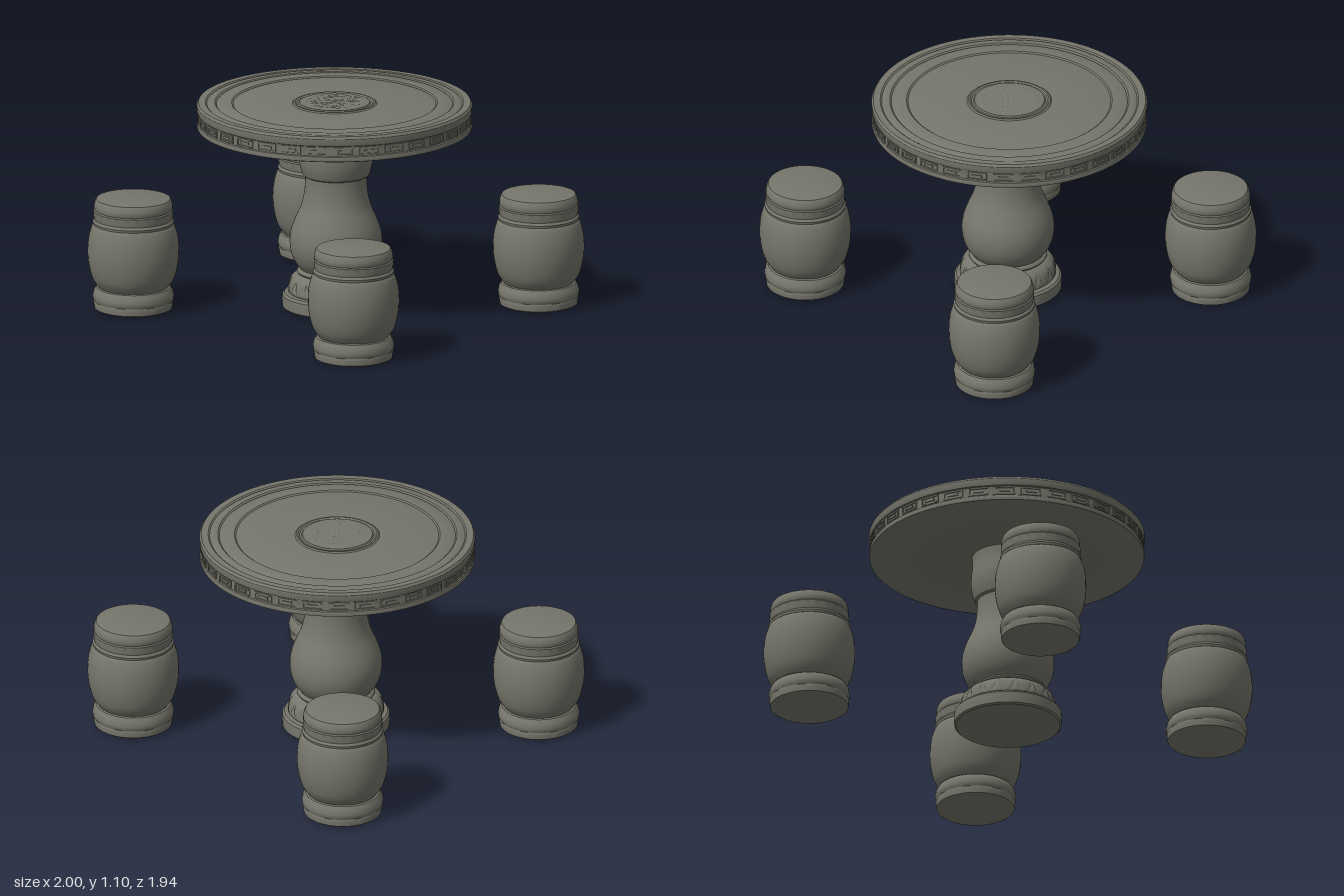
import * as THREE from 'three';
import { mergeGeometries, toCreasedNormals } from 'three/addons/utils/BufferGeometryUtils.js';

const stone = new THREE.MeshStandardMaterial({ color: 0x76766c });
stone.name = 'grey stone';

const vec = ([r, y]) => new THREE.Vector2(r, y);
// Smooth run of profile points through a few control points
const curve = (pts, n = 20) =>
  new THREE.SplineCurve(pts.map(vec)).getPoints(n).map((p) => [p.x, p.y]);

function mesh(name, geometry) {
  const m = new THREE.Mesh(geometry, stone);
  m.name = name;
  return m;
}

const turned = (name, profile, segments = 64) =>
  mesh(name, toCreasedNormals(new THREE.LatheGeometry(profile.map(vec), segments), 0.6));

function createTabletop() {
  const top = new THREE.Group();
  top.name = 'tabletop';

  // Slab with banded rim, ring grooves and a raised centre ring
  top.add(turned('slab', [
    [0, 0.968], [0.7, 0.968], [0.714, 0.973], [0.717, 0.985], [0.713, 0.998],
    [0.706, 1.002], [0.706, 1.052], [0.713, 1.056], [0.717, 1.066], [0.717, 1.094],
    [0.708, 1.107], [0.672, 1.107], [0.664, 1.101], [0.656, 1.106], [0.622, 1.106],
    [0.614, 1.099], [0.606, 1.104], [0.535, 1.104], [0.527, 1.098], [0.518, 1.101],
    [0.22, 1.101], [0.213, 1.107], [0.205, 1.107], [0.197, 1.101], [0.187, 1.101],
    [0.182, 1.108], [0.174, 1.106], [0, 1.106],
  ], 96));

  // Carved centre medallion with an uneven, pebbled relief
  const disc = new THREE.RingGeometry(0.0005, 0.174, 64, 16).rotateX(-Math.PI / 2);
  const p = disc.attributes.position;
  for (let i = 0; i < p.count; i++) {
    const x = p.getX(i), z = p.getZ(i);
    const fade = 1 - Math.hypot(x, z) / 0.174;
    const bump = Math.sin(x * 170 + Math.sin(z * 90)) * Math.sin(z * 160 + Math.sin(x * 80));
    p.setY(i, 1.1065 + Math.min(1, fade * 5) * (0.003 + 0.0025 * bump));
  }
  disc.computeVertexNormals();
  top.add(mesh('medallion', disc));

  // Framed panels carved around the rim
  const panels = [];
  const count = 32;
  for (let i = 0; i < count; i++) {
    const bars = [
      [0.1, 0.008, 0, 0.018], [0.1, 0.008, 0, -0.018],
      [0.008, 0.04, -0.05, 0], [0.008, 0.04, 0.05, 0],
      [0.055, 0.012, 0, 0],
    ];
    for (const [w, h, x, y] of bars) {
      const angle = (i / count) * Math.PI * 2 + x / 0.71;
      panels.push(new THREE.BoxGeometry(w, h, 0.014)
        .translate(0, 1.027 + y, 0.704)
        .rotateY(angle));
    }
  }
  top.add(mesh('rimPanels', mergeGeometries(panels)));
  top.position.x = -0.01;
  return top;
}

function createPedestal() {
  const pedestal = new THREE.Group();
  pedestal.name = 'pedestal';

  // Round foot
  pedestal.add(turned('foot', [
    [0, 0.008], [0.27, 0.01], [0.279, 0.018], [0.281, 0.05], [0.279, 0.078],
    [0.268, 0.09], [0.23, 0.093],
  ]));

  // Domed collar carved with a ring of petals
  const dome = new THREE.LatheGeometry(curve([
    [0.235, 0.088], [0.25, 0.1], [0.248, 0.13], [0.236, 0.165], [0.21, 0.19], [0.185, 0.196],
  ], 20).map(vec), 240);
  const p = dome.attributes.position;
  for (let i = 0; i < p.count; i++) {
    const x = p.getX(i), y = p.getY(i), z = p.getZ(i);
    const t = THREE.MathUtils.clamp((y - 0.095) / 0.09, 0, 1);
    const u = Math.abs(((Math.atan2(x, z) / (Math.PI * 2) * 16 + 16) % 1) - 0.5) * 2;
    const edge = Math.abs(u - Math.sqrt(t));
    const s = 1 - 0.04 * Math.max(0, 1 - edge / 0.16) * Math.sin(Math.PI * t);
    p.setXYZ(i, x * s, y, z * s);
  }
  dome.computeVertexNormals();
  pedestal.add(mesh('petalCollar', dome));

  // Vase-shaped column with bead and neck bulge
  pedestal.add(turned('column', [
    [0.18, 0.19], [0.198, 0.194], [0.204, 0.204], [0.198, 0.215], [0.188, 0.22],
    ...curve([
      [0.19, 0.224], [0.216, 0.26], [0.235, 0.31], [0.241, 0.37], [0.232, 0.43],
      [0.21, 0.49], [0.184, 0.55], [0.168, 0.61], [0.161, 0.67], [0.16, 0.715],
    ], 30),
    [0.172, 0.722], [0.177, 0.733],
    ...curve([
      [0.179, 0.74], [0.189, 0.78], [0.193, 0.83], [0.189, 0.88], [0.185, 0.92], [0.187, 0.972],
    ], 14),
  ]));
  return pedestal;
}

function createStool(x, z) {
  const stool = new THREE.Group();
  stool.name = 'stool';

  // Base ring with a shallow groove
  stool.add(turned('stoolBase', [
    [0, 0.012], [0.19, 0.012], [0.203, 0.02], [0.207, 0.05], [0.204, 0.058],
    [0.21, 0.066], [0.212, 0.085], [0.206, 0.11], [0.194, 0.13], [0.175, 0.135],
  ], 48));

  // Barrel body
  stool.add(turned('stoolBody', curve([
    [0.18, 0.13], [0.19, 0.142], [0.213, 0.18], [0.23, 0.24], [0.238, 0.31],
    [0.235, 0.38], [0.225, 0.43], [0.212, 0.465], [0.2, 0.475],
  ], 28), 48));

  // Banded neck and flat seat
  stool.add(turned('stoolSeat', [
    [0.195, 0.465], [0.209, 0.47], [0.212, 0.483], [0.208, 0.492], [0.203, 0.496],
    [0.207, 0.515], [0.207, 0.54], [0.201, 0.546], [0.205, 0.553], [0.204, 0.572],
    [0.199, 0.592], [0.192, 0.603], [0.184, 0.605], [0, 0.605],
  ], 48));

  stool.position.set(x, 0, z);
  return stool;
}

export function createModel() {
  const model = new THREE.Group();
  model.name = 'stoneTableSet';
  model.add(createTabletop(), createPedestal());
  for (const sx of [-1, 1]) {
    for (const sz of [-1, 1]) model.add(createStool(sx * 0.761, sz * 0.73));
  }
  return model;
}
